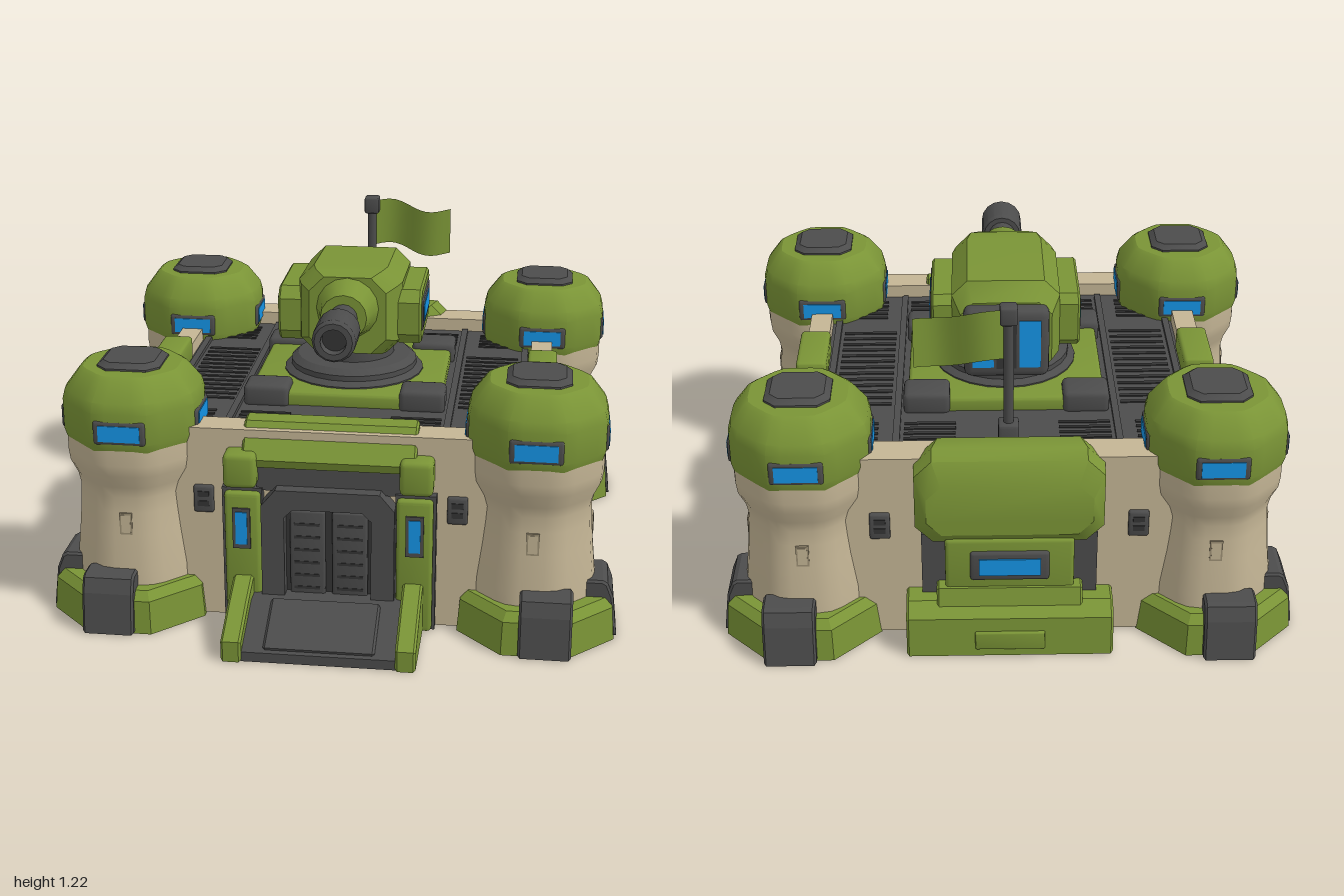
import * as THREE from 'three';
import { toCreasedNormals } from 'three/addons/utils/BufferGeometryUtils.js';
import { RoundedBoxGeometry } from 'three/addons/geometries/RoundedBoxGeometry.js';

const paint = (name, color, side = THREE.FrontSide) => {
  const m = new THREE.MeshStandardMaterial({ color, side });
  m.name = name;
  return m;
};

export function createModel() {
  const root = new THREE.Group();
  root.name = 'fortress';
  const green = paint('armour green', 0x7a9436);
  const cloth = paint('flag green', 0x7a9436, THREE.DoubleSide);
  const stone = paint('sand stone', 0xc4b595);
  const shade = paint('dark sand', 0x9c8f74);
  const dark = paint('dark metal', 0x4c4c4c);
  const slot = paint('slot black', 0x343434);
  const blue = paint('window blue', 0x1699ee);

  const add = (name, geo, mat, parent = root) => {
    const m = new THREE.Mesh(geo, mat);
    m.name = name;
    parent.add(m);
    return m;
  };
  // box given by its limits, with a small chamfer when r > 0
  const box = (name, mat, [x0, x1], [y0, y1], [z0, z1], r = 0, parent = root) => {
    const s = [x1 - x0, y1 - y0, z1 - z0];
    const g = r ? toCreasedNormals(new RoundedBoxGeometry(...s, 2, r), 0.5) : new THREE.BoxGeometry(...s);
    g.translate((x0 + x1) / 2, (y0 + y1) / 2, (z0 + z1) / 2);
    return add(name, g, mat, parent);
  };
  // the same box on both sides of the model
  const pair = (name, mat, [x0, x1], y, z, r = 0) => {
    box(name + 'Left', mat, [x0, x1], y, z, r);
    box(name + 'Right', mat, [-x1, -x0], y, z, r);
  };
  // side profile of [z, y] points, extruded across x
  const slab = (name, mat, pts, x0, x1, parent = root) => {
    const bevel = 0.008;
    const shape = new THREE.Shape(pts.map(p => new THREE.Vector2(...p)));
    const g = new THREE.ExtrudeGeometry(shape, {
      depth: x1 - x0 - 2 * bevel, bevelThickness: bevel, bevelSize: bevel, bevelOffset: -bevel, bevelSegments: 1,
    });
    g.rotateY(-Math.PI / 2).translate(x1 - bevel, 0, 0);
    return add(name, g, mat, parent);
  };
  // chamfered rectangles [z, half width, bottom, top, chamfer] joined along z
  const loft = (sections) => {
    const rings = sections.map(([z, w, b, t, c]) => [
      [w, b + c, z], [w, t - c, z], [w - c, t, z], [c - w, t, z],
      [-w, t - c, z], [-w, b + c, z], [c - w, b, z], [w - c, b, z]]);
    const pos = [];
    const tri = (...p) => p.forEach(v => pos.push(...v));
    for (let i = 0; i + 1 < rings.length; i++) for (let j = 0; j < 8; j++) {
      const k = (j + 1) % 8, A = rings[i], B = rings[i + 1];
      tri(A[j], A[k], B[k]);
      tri(A[j], B[k], B[j]);
    }
    const first = rings[0], last = rings[rings.length - 1];
    for (let j = 1; j < 7; j++) {
      tri(first[0], first[j + 1], first[j]);
      tri(last[0], last[j], last[j + 1]);
    }
    const g = new THREE.BufferGeometry();
    g.setAttribute('position', new THREE.Float32BufferAttribute(pos, 3));
    return toCreasedNormals(g, 0.6);
  };
  // turned profile; with soft corners pushed out it becomes a rounded octagon
  const lathe = (pts, n, corner = 1) => {
    const g = new THREE.LatheGeometry(pts.map(p => new THREE.Vector2(...p)), n);
    const p = g.attributes.position, step = Math.PI / 4;
    for (let i = 0; i < p.count; i++) {
      const a = Math.atan2(p.getZ(i), p.getX(i));
      const k = Math.min(corner, 1 / Math.cos(a - Math.round(a / step) * step));
      p.setX(i, p.getX(i) * k);
      p.setZ(i, p.getZ(i) * k);
    }
    return toCreasedNormals(g, 0.5);
  };
  const octagon = (top, bottom, h, y) => {
    const k = 1 / Math.cos(Math.PI / 8);
    const g = new THREE.CylinderGeometry(top * k, bottom * k, h, 8).rotateY(Math.PI / 8).translate(0, y, 0);
    return toCreasedNormals(g, 0.3);
  };

  // main walls, parapets and recessed roof
  box('hall', stone, [-0.74, 0.74], [0.006, 0.65], [-0.79, 0.65]);
  pair('sideParapet', stone, [0.66, 0.74], [0.65, 0.71], [-0.79, 0.65]);
  box('frontParapet', stone, [-0.66, 0.66], [0.65, 0.71], [0.54, 0.65]);
  box('backParapet', stone, [-0.66, 0.66], [0.65, 0.71], [-0.79, -0.67]);
  pair('plinth', stone, [0.73, 0.77], [0.006, 0.15], [-0.75, 0.6], 0.01);
  box('roofDeck', dark, [-0.66, 0.66], [0.645, 0.66], [-0.67, 0.54]);

  // roof grilles
  for (const s of [-1, 1]) {
    for (let i = 0; i < 13; i++) {
      const z = -0.34 + i * 0.046;
      box('sideGrille', slot, [s * 0.51 - 0.1, s * 0.51 + 0.1], [0.658, 0.664], [z, z + 0.016]);
    }
    for (const cx of [0.27, 0.54]) for (const cz of [-0.54, 0.42]) for (let i = -2; i <= 2; i++) {
      const z = cz + i * 0.034;
      box('endGrille', slot, [s * cx - 0.09, s * cx + 0.09], [0.658, 0.664], [z - 0.007, z + 0.007]);
    }
    for (const x of [0.385, 0.635]) box('deckRib', dark, [s * x - 0.012, s * x + 0.012], [0.66, 0.675], [-0.65, 0.52]);
  }

  // underside grating
  box('underGrate', dark, [-0.35, 0.35], [0.002, 0.01], [-0.53, 0.47]);
  for (let i = 0; i < 15; i++) {
    const z = -0.5 + i * 0.064;
    box('underSlot', slot, [-0.31, 0.31], [0, 0.008], [z, z + 0.032]);
  }

  // corner towers
  const bodyGeo = lathe([[0.22, 0.05], [0.217, 0.2], [0.203, 0.335], [0.197, 0.415], [0.194, 0.47], [0.202, 0.51],
    [0.225, 0.56], [0.23, 0.6], [0.23, 0.68]], 32, 1.04);
  const domeGeo = lathe([[0.2, 0.65], [0.228, 0.65], [0.237, 0.68], [0.237, 0.79], [0.228, 0.825], [0.18, 0.89],
    [0.165, 0.9], [0.001, 0.905]], 32, 1.05);
  const hatchGeo = loft([[0.88, 0.11, -0.11, 0.11, 0.04], [0.908, 0.11, -0.11, 0.11, 0.04], [0.925, 0.09, -0.09, 0.09, 0.03]])
    .rotateX(-Math.PI / 2);
  const footProfile = [[0, 0.003], [0.13, 0.003], [0.112, 0.15], [0.092, 0.2], [0.075, 0.21], [0, 0.21]];
  for (const sx of [-1, 1]) for (const sz of [-1, 1]) {
    const tower = new THREE.Group();
    tower.name = 'tower' + (sz > 0 ? 'Front' : 'Back') + (sx > 0 ? 'Left' : 'Right');
    tower.position.set(sx * 0.7, 0, sz > 0 ? 0.535 : -0.66);
    root.add(tower);
    add('towerBody', bodyGeo, stone, tower);
    add('towerDome', domeGeo, green, tower);
    add('hatch', hatchGeo, dark, tower);
    const base = new THREE.Group();
    base.name = 'towerBase';
    base.position.set(sx * 0.018, 0, sz > 0 ? 0.022 : -0.015);
    tower.add(base);
    add('skirt', octagon(0.262, 0.272, 0.12, 0.06), green, base);
    add('skirtTop', octagon(0.235, 0.262, 0.03, 0.135), green, base);
    // dark buttresses on the two outer sides
    for (const [angle, dx, dz] of [[sz > 0 ? 0 : Math.PI, sx * 0.035, sz * 0.165 - (sz < 0 ? 0.01 : 0)], [sx * Math.PI / 2, sx * 0.152, sz * 0.005]]) {
      const foot = slab('buttress', dark, footProfile, -0.09, 0.09, base);
      foot.rotation.y = angle;
      foot.position.set(dx, 0, dz);
    }
    // windows and arrow slits on each side
    for (let k = 0; k < 4; k++) {
      const face = new THREE.Group();
      face.name = 'towerFace';
      face.rotation.y = k * Math.PI / 2;
      tower.add(face);
      box('windowFrame', dark, [-0.09, 0.09], [0.68, 0.765], [0.2, 0.24], 0.01, face);
      box('window', blue, [-0.072, 0.072], [0.693, 0.75], [0.236, 0.243], 0, face);
      box('slitFrame', shade, [-0.022, 0.022], [0.335, 0.415], [0.19, 0.2035], 0, face);
      box('slit', stone, [-0.016, 0.016], [0.342, 0.408], [0.2, 0.205], 0, face);
    }
  }

  // side wall details
  for (const s of [-1, 1]) {
    const side = new THREE.Group();
    side.name = s > 0 ? 'leftWallDetails' : 'rightWallDetails';
    root.add(side);
    const span = (a, b) => (s > 0 ? [a, b] : [-b, -a]);
    box('wallCap', green, span(0.65, 0.76), [0.66, 0.755], [-0.195, 0.07], 0.015, side);
    slab('wallCapLip', green, [[-0.17, 0.64], [0.05, 0.64], [0.07, 0.7], [-0.195, 0.7]], ...span(0.72, 0.765), side);
    slab('slotFrame', dark, [[-0.35, 0.37], [-0.32, 0.355], [-0.17, 0.355], [-0.14, 0.4], [-0.17, 0.44], [-0.35, 0.44]],
      ...span(0.72, 0.755), side);
    box('slotWindow', blue, span(0.75, 0.759), [0.372, 0.428], [-0.338, -0.185], 0, side);
    box('panelEdge', shade, span(0.735, 0.743), [0.263, 0.377], [0.115, 0.23], 0, side);
    box('panel', stone, span(0.735, 0.746), [0.268, 0.372], [0.12, 0.225], 0, side);
    box('post', dark, span(0.72, 0.815), [0.006, 0.185], [0.135, 0.245], 0.02, side);
  }
  // vents beside the gate and at the back
  for (const s of [-1, 1]) for (const z of [0.65, -0.79]) {
    box('vent', dark, [s * 0.44 - 0.035, s * 0.44 + 0.035], [0.4, 0.5], [z - 0.015, z + 0.015], 0.008);
    for (const y of [0.425, 0.46]) box('ventSlot', slot, [s * 0.44 - 0.02, s * 0.44 + 0.02], [y, y + 0.02], [z - 0.018, z + 0.018]);
  }

  // gate
  slab('gateHeader', green, [[0.55, 0.59], [0.69, 0.59], [0.7, 0.62], [0.61, 0.73], [0.55, 0.735]], -0.3, 0.3);
  box('headerUnderside', dark, [-0.25, 0.25], [0.5, 0.595], [0.6, 0.675]);
  pair('gateShoulder', green, [0.245, 0.36], [0.52, 0.645], [0.58, 0.725], 0.02);
  pair('gatePillar', green, [0.235, 0.36], [0.006, 0.5], [0.6, 0.71], 0.015);
  pair('pillarBack', dark, [0.23, 0.37], [0.006, 0.51], [0.6, 0.685]);
  pair('pillarWindowFrame', dark, [0.268, 0.33], [0.295, 0.445], [0.69, 0.717]);
  pair('pillarWindow', blue, [0.279, 0.319], [0.312, 0.432], [0.713, 0.721]);
  const frame = new THREE.Shape([[-0.23, 0.006], [0.23, 0.006], [0.23, 0.46], [0.18, 0.52], [-0.18, 0.52], [-0.23, 0.46]].map(p => new THREE.Vector2(...p)));
  frame.holes.push(new THREE.Path([[-0.15, 0.08], [-0.15, 0.42], [-0.12, 0.45], [0.12, 0.45], [0.15, 0.42], [0.15, 0.08]].map(p => new THREE.Vector2(...p))));
  add('doorFrame', new THREE.ExtrudeGeometry(frame, { depth: 0.1, bevelEnabled: false }).translate(0, 0, 0.62), dark);
  box('doorRecess', slot, [-0.16, 0.16], [0.06, 0.46], [0.62, 0.675]);
  pair('doorLeaf', dark, [0.012, 0.135], [0.1, 0.435], [0.66, 0.69], 0.008);
  for (let i = 0; i < 6; i++) pair('doorGroove', slot, [0.03, 0.12], [0.14 + i * 0.048, 0.15 + i * 0.048], [0.685, 0.692]);

  // ramp with cheek walls
  slab('ramp', dark, [[0.64, 0], [0.975, 0], [0.975, 0.035], [0.77, 0.125], [0.64, 0.125]], -0.27, 0.27);
  slab('rampPlate', dark, [[0.76, 0.09], [0.955, 0.02], [0.965, 0.05], [0.77, 0.137]], -0.19, 0.19);
  for (const s of [-1, 1]) {
    slab('rampCheek', green, [[0.62, 0], [0.985, 0], [0.985, 0.075], [0.83, 0.15], [0.73, 0.19], [0.62, 0.19]],
      s * 0.295 - 0.035, s * 0.295 + 0.035);
  }

  // rear bunker
  add('bunkerHood', loft([[-0.875, 0.28, 0.46, 0.65, 0.05], [-0.835, 0.32, 0.41, 0.725, 0.06], [-0.79, 0.32, 0.41, 0.75, 0.06],
    [-0.72, 0.3, 0.41, 0.75, 0.06], [-0.69, 0.27, 0.43, 0.73, 0.06]]), green);
  box('bunkerRecess', dark, [-0.3, 0.3], [0.18, 0.43], [-0.82, -0.75]);
  box('bunkerFront', green, [-0.22, 0.22], [0.18, 0.43], [-0.86, -0.78], 0.015);
  box('bunkerFrame', dark, [-0.135, 0.135], [0.27, 0.385], [-0.872, -0.84], 0.012);
  box('bunkerWindow', blue, [-0.105, 0.105], [0.295, 0.36], [-0.877, -0.868]);
  slab('bunkerFoot', green, [[-0.76, 0.19], [-0.87, 0.19], [-0.925, 0.15], [-0.935, 0.003], [-0.76, 0.003]], -0.355, 0.355);
  slab('footStep', green, [[-0.76, 0.24], [-0.87, 0.24], [-0.89, 0.17], [-0.76, 0.17]], -0.25, 0.25);
  box('footPlate', green, [-0.12, 0.12], [0.03, 0.1], [-0.94, -0.92], 0.006);

  // turret mount
  box('mountPlate', green, [-0.35, 0.35], [0.65, 0.71], [-0.385, 0.265], 0.015);
  for (const z of [-0.335, 0.215]) pair('mountCorner', dark, [0.2, 0.365], [0.65, 0.735], [z - 0.065, z + 0.065], 0.02);
  const ring = lathe([[0.26, 0.69], [0.26, 0.715], [0.235, 0.73], [0.235, 0.75], [0.21, 0.77], [0.15, 0.775], [0.15, 0.82], [0.001, 0.82]], 24);
  add('turretRing', ring, dark).position.z = -0.05;

  // turret
  add('turretBody', loft([[-0.335, 0.16, 0.79, 1.06, 0.045], [-0.27, 0.19, 0.785, 1.115, 0.055],
    [0.05, 0.19, 0.805, 1.13, 0.055], [0.11, 0.175, 0.815, 1.13, 0.055], [0.155, 0.14, 0.83, 1.115, 0.055]]), green);
  for (const s of [-1, 1]) {
    const ear = slab('turretEar', green, [[-0.27, 0.88], [-0.24, 0.85], [0.07, 0.85], [0.1, 0.89], [0.1, 1.01], [0.06, 1.05], [-0.24, 1.05], [-0.27, 1.02]],
      s * 0.215 - 0.048, s * 0.215 + 0.048);
    ear.name += s > 0 ? 'Left' : 'Right';
  }
  pair('earFrame', dark, [0.24, 0.268], [0.895, 1.015], [-0.215, 0.07], 0.008);
  pair('earWindow', blue, [0.263, 0.271], [0.925, 0.987], [-0.185, 0.035]);
  box('turretBack', dark, [-0.15, 0.15], [0.79, 1.055], [-0.385, -0.31], 0.03);
  pair('backWindow', blue, [0.045, 0.12], [0.835, 1.015], [-0.389, -0.381]);
  box('backRib', slot, [-0.035, 0.035], [0.83, 1.02], [-0.388, -0.38]);

  // cannon, turned around the z axis
  const cannon = new THREE.Group();
  cannon.name = 'cannon';
  cannon.position.y = 1;
  cannon.rotation.x = Math.PI / 2;
  root.add(cannon);
  add('collar', lathe([[0.125, 0.12], [0.108, 0.17], [0.098, 0.2], [0.083, 0.27], [0.001, 0.27]], 16), green, cannon);
  add('barrel', lathe([[0.05, 0.25], [0.05, 0.4]], 16), dark, cannon);
  add('muzzle', lathe([[0.045, 0.385], [0.068, 0.385], [0.076, 0.4], [0.076, 0.53], [0.066, 0.545],
    [0.045, 0.545], [0.045, 0.5], [0.001, 0.5]], 16), dark, cannon);
  add('bore', new THREE.CylinderGeometry(0.044, 0.044, 0.006, 16).translate(0, 0.503, 0), slot, cannon);

  // flag and pole
  box('poleFoot', dark, [-0.035, 0.035], [0.65, 0.78], [-0.7, -0.63], 0.01);
  add('pole', new THREE.CylinderGeometry(0.018, 0.018, 0.5, 10).translate(0, 0.93, -0.665), dark);
  box('poleCap', dark, [-0.029, 0.029], [1.15, 1.215], [-0.694, -0.636], 0.008);
  const flag = new THREE.PlaneGeometry(0.3, 0.18, 12, 2).translate(0.165, 1.09, -0.665);
  const p = flag.attributes.position;
  for (let i = 0; i < p.count; i++) {
    const u = (p.getX(i) - 0.015) / 0.3;
    p.setY(i, p.getY(i) + 0.018 - 0.035 * u + 0.012 * Math.sin(u * 7));
    p.setZ(i, p.getZ(i) - 0.022 * Math.sin(u * 6.5));
  }
  flag.computeVertexNormals();
  add('flag', flag, cloth);

  return root;
}
